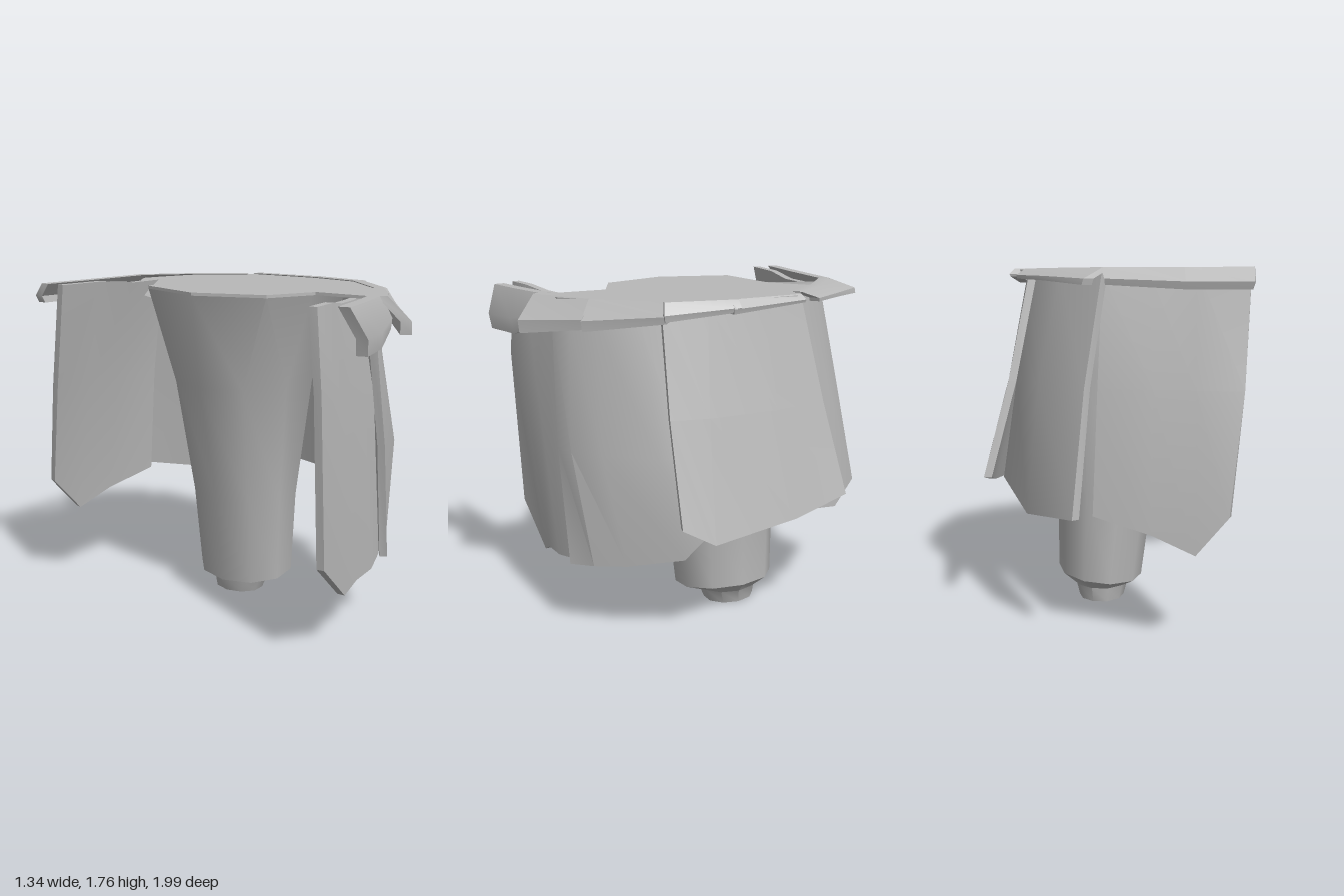
import * as THREE from 'three';
import { toCreasedNormals } from 'three/addons/utils/BufferGeometryUtils.js';

const armour = new THREE.MeshStandardMaterial({ color: 0xb9b9b9, side: THREE.DoubleSide });
armour.name = 'plain grey';

function creased(points, index, crease) {
  const g = new THREE.BufferGeometry();
  g.setAttribute('position', new THREE.Float32BufferAttribute(points.flat(), 3));
  g.setIndex(index);
  return toCreasedNormals(g, crease);
}

function part(name, geometry) {
  const mesh = new THREE.Mesh(geometry, armour);
  mesh.name = name;
  return mesh;
}

// Slab from rows of points (top to bottom, left to right seen from outside), thickened inward
function slab(name, rows, thickness) {
  const R = rows.length, C = rows[0].length, n = R * C;
  const outer = rows.flat().map(p => new THREE.Vector3(...p));
  const inner = outer.map((p, i) => {
    const c = i % C, row = i - c;
    const across = outer[row + Math.min(C - 1, c + 1)].clone().sub(outer[row + Math.max(0, c - 1)]);
    const outward = new THREE.Vector3(-across.z, 0, across.x).normalize();
    return p.clone().addScaledVector(outward, -thickness);
  });
  const index = [];
  const quad = (a, b, c, d) => index.push(a, b, c, a, c, d);
  for (let r = 0; r < R - 1; r++) for (let c = 0; c < C - 1; c++) {
    const a = r * C + c, b = a + C;
    quad(a, b, b + 1, a + 1);
    quad(n + a, n + a + 1, n + b + 1, n + b);
  }
  // rim, walked counter-clockwise from outside
  const rim = [];
  for (let r = 0; r < R - 1; r++) rim.push(r * C);
  for (let c = 0; c < C - 1; c++) rim.push((R - 1) * C + c);
  for (let r = R - 1; r > 0; r--) rim.push(r * C + C - 1);
  for (let c = C - 1; c > 0; c--) rim.push(c);
  rim.forEach((a, i) => {
    const b = rim[(i + 1) % rim.length];
    quad(b, a, n + a, n + b);
  });
  return part(name, creased([...outer, ...inner].map(v => v.toArray()), index, 0.6));
}

// Loft through rings of equal length, listed top to bottom, closed at the bottom
function loft(name, rings) {
  const N = rings[0].length, index = [];
  for (let r = 0; r < rings.length - 1; r++) for (let i = 0; i < N; i++) {
    const j = (i + 1) % N, a = r * N, b = a + N;
    index.push(a + i, b + i, b + j, a + i, b + j, a + j);
  }
  const last = (rings.length - 1) * N;
  for (let i = 1; i < N - 1; i++) index.push(last, last + i + 1, last + i);
  return part(name, creased(rings.flat(), index, 0.75));
}

export function createModel() {
  const model = new THREE.Group();
  model.name = 'hipArmour';

  // Flat lid joining the thigh to the belt, as x, z outline
  const outline = [[-0.52, 0], [-0.4, 0.36], [-0.15, 0.48], [-0.15, 0.82], [0, 0.8], [0.18, 0.68], [0.43, 0.41],
    [0.5, 0.1], [0.5, -0.27], [0.41, -0.35], [0.24, -0.58], [-0.02, -0.41], [-0.4, -0.38]];
  const lidShape = new THREE.Shape(outline.map(([x, z]) => new THREE.Vector2(x, -z)));
  const lidGeometry = new THREE.ExtrudeGeometry(lidShape, { depth: 0.015, bevelEnabled: false });
  lidGeometry.rotateX(-Math.PI / 2).translate(0, 1.74, 0);
  model.add(part('topLid', lidGeometry));

  // Gusset sloping from the lid to the back belt
  const gusset = [[-0.02, 1.755, -0.41], [0.24, 1.755, -0.58], [0, 1.74, -0.78], [-0.1, 1.67, -0.74],
    [-0.12, 1.65, -0.6], [0, 1.69, -0.48]];
  model.add(part('backGusset', creased(gusset, [0, 1, 2, 0, 2, 3, 0, 3, 4, 0, 4, 5], 0.9)));

  // Thigh and its stub
  const topRing = [[-0.52, 0], [-0.4, 0.36], [-0.15, 0.46], [0.15, 0.48], [0.33, 0.36], [0.39, 0.05],
    [0.37, -0.25], [0.25, -0.42], [0, -0.42], [-0.4, -0.38]].map(([x, z]) => [x, 1.745, z]);
  const ring = (y, cx, cz, rx, rz, tilt = 0) => topRing.map((p, i) => {
    const a = Math.PI + i * Math.PI * 2 / topRing.length;
    return [cx + rx * Math.cos(a), y + tilt * Math.cos(a), cz - rz * Math.sin(a)];
  });
  model.add(loft('thigh', [topRing,
    ring(1.25, 0.01, -0.06, 0.4, 0.37), ring(0.6, 0.04, -0.09, 0.26, 0.31),
    ring(0.13, 0.07, -0.1, 0.225, 0.28, 0.025), ring(0.075, 0.06, -0.13, 0.14, 0.165), ring(0, 0.06, -0.14, 0.12, 0.145)]));

  // Hanging plates, going round from the front to the back
  const plates = {
    frontPlate: [
      [[-0.67, 1.76, 0.81], [-0.5, 1.76, 0.79], [-0.36, 1.74, 0.75], [-0.22, 1.74, 0.73], [-0.1, 1.74, 0.7]],
      [[-0.67, 1.37, 0.84], [-0.48, 1.3, 0.84], [-0.34, 1.25, 0.81], [-0.19, 1.25, 0.79], [-0.04, 1.25, 0.76]],
      [[-0.6, 0.53, 0.83], [-0.35, 0.31, 0.8], [-0.25, 0.36, 0.81], [-0.1, 0.37, 0.81], [0.07, 0.39, 0.76]]],
    frontCornerPlate: [
      [[-0.11, 1.65, 0.79], [0, 1.65, 0.74], [0.15, 1.65, 0.66], [0.3, 1.65, 0.5], [0.36, 1.65, 0.38]],
      [[-0.02, 1, 0.82], [0.12, 1, 0.8], [0.26, 1, 0.69], [0.45, 1, 0.47], [0.51, 1, 0.34]],
      [[0.07, 0.38, 0.81], [0.2, 0.4, 0.73], [0.33, 0.42, 0.6], [0.52, 0.48, 0.37], [0.6, 0.62, 0.28]]],
    sidePlate: [
      [[0.39, 1.72, 0.42], [0.44, 1.73, 0.2], [0.45, 1.74, -0.1], [0.41, 1.74, -0.35]],
      [[0.49, 1.2, 0.43], [0.54, 1.2, 0.24], [0.55, 1.2, -0.14], [0.51, 1.2, -0.44]],
      [[0.62, 0.68, 0.43], [0.66, 0.59, 0.27], [0.66, 0.65, -0.2], [0.63, 0.72, -0.52]]],
    backCornerPlate: [
      [[0.4, 1.74, -0.3], [0.23, 1.74, -0.56], [0.02, 1.74, -0.73]],
      [[0.49, 1.2, -0.28], [0.34, 1.2, -0.6], [0.1, 1.2, -0.81]],
      [[0.58, 0.66, -0.2], [0.4, 0.56, -0.62], [0.15, 0.6, -0.92]]],
    backPlate: [
      [[0.02, 1.74, -0.68], [-0.2, 1.74, -0.69], [-0.42, 1.76, -0.73], [-0.67, 1.76, -0.76]],
      [[0.04, 1.2, -0.77], [-0.22, 1.2, -0.82], [-0.42, 1.2, -0.85], [-0.64, 1.2, -0.87]],
      [[0.06, 0.6, -0.83], [-0.22, 0.53, -0.91], [-0.42, 0.45, -0.96], [-0.57, 0.64, -1]]],
  };
  for (const [name, rows] of Object.entries(plates)) model.add(slab(name, rows, 0.04));

  // Belt of overlapping segments, each a top row and a flared bottom row
  const belt = [
    [[[-0.6, 1.76, 0.93], [-0.38, 1.76, 0.89], [-0.13, 1.76, 0.83]], [[-0.52, 1.54, 0.98], [-0.3, 1.54, 0.93], [-0.1, 1.6, 0.87]]],
    [[[-0.14, 1.76, 0.87], [0.18, 1.76, 0.68]], [[-0.08, 1.58, 0.97], [0.2, 1.62, 0.75]]],
    [[[0.17, 1.76, 0.7], [0.44, 1.76, 0.41]], [[0.2, 1.61, 0.75], [0.46, 1.66, 0.43]]],
    [[[0.44, 1.76, 0.43], [0.51, 1.76, 0.07]], [[0.47, 1.67, 0.44], [0.52, 1.7, 0.06]]],
    [[[0.5, 1.76, 0.1], [0.49, 1.76, -0.3]], [[0.52, 1.69, 0.1], [0.51, 1.72, -0.31]]],
    [[[0.43, 1.76, -0.34], [0.24, 1.76, -0.59], [0.01, 1.76, -0.8]], [[0.46, 1.71, -0.43], [0.3, 1.7, -0.66], [0.1, 1.68, -0.92]]],
    [[[0.02, 1.76, -0.8], [-0.36, 1.76, -0.84], [-0.67, 1.76, -0.88]], [[0, 1.68, -0.84], [-0.36, 1.66, -0.88], [-0.66, 1.66, -0.92]]],
  ];
  belt.forEach(([top, bottom], i) => {
    // bulging middle row gives each segment a rounded face
    const middle = top.map((p, k) => p.map((v, axis) => {
      const w = axis === 1 ? 0.65 : 0.9;
      return v + (bottom[k][axis] - v) * w + (axis === 1 ? 0 : v * 0.015);
    }));
    model.add(slab('beltSegment' + (i + 1), [top, middle, bottom], 0.055));
  });
  return model;
}
